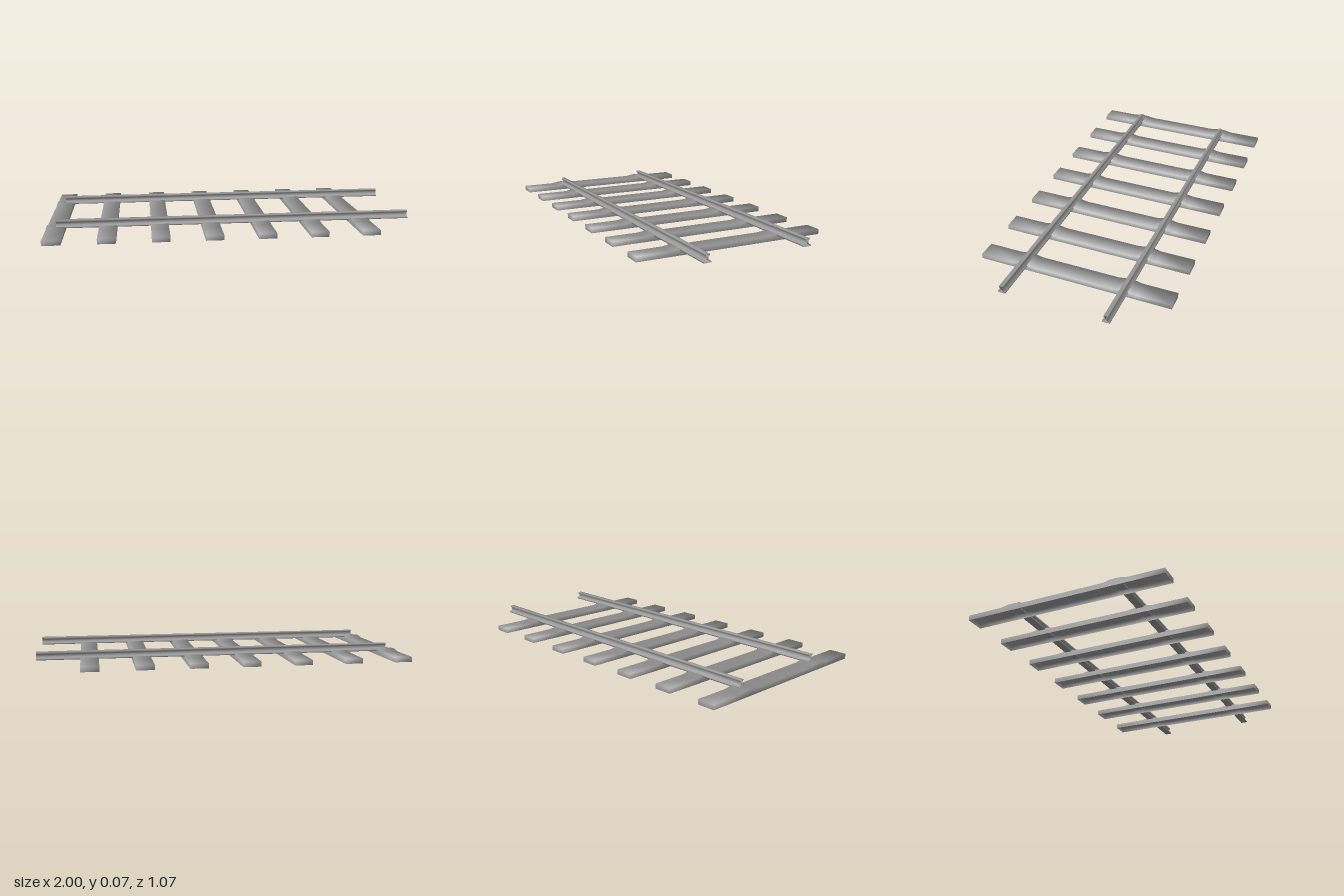
import * as THREE from 'three';
import { mergeVertices } from 'three/addons/utils/BufferGeometryUtils.js';

const material = new THREE.MeshStandardMaterial({ color: 0x999999, side: THREE.DoubleSide });

// Leaves out the faces of one geometry group, so the shell stays open there
function withoutGroup(geometry, dropped) {
  const index = [];
  geometry.groups.forEach((g, n) => {
    if (n === dropped) return;
    for (let i = g.start; i < g.start + g.count; i++) {
      index.push(geometry.index ? geometry.index.getX(i) : i);
    }
  });
  geometry.setIndex(index);
  geometry.clearGroups();
  return geometry;
}

// Half of the sleeper's top line: distance from the middle, height, slope
const topLine = [
  [0.215, 0.027, -0.06], [0.235, 0.03, -0.18], [0.255, 0.0345, -0.12], [0.282, 0.036, 0],
  [0.309, 0.0345, 0.12], [0.329, 0.03, 0.18], [0.349, 0.027, 0.06], [0.534, 0.027, 0],
];
const stations = [
  ...topLine.map(([z, y, s]) => [-z, y, -s]).reverse(),
  ...topLine,
];

// Hollow sleeper: open below, a raised seat under each rail, shaded softly round its edges
function sleeperGeometry() {
  const last = stations.length - 1;
  const geometry = new THREE.BoxGeometry(0.096, 1, 1, 1, 1, last);
  const p = geometry.attributes.position;
  const normal = new THREE.Vector3();
  for (let i = 0; i < p.count; i++) {
    const k = Math.round((p.getZ(i) + 0.5) * last);
    const [z, y, slope] = stations[k];
    const top = p.getY(i) > 0;
    const end = k === 0 || k === last ? Math.sign(z) : 0;
    p.setXYZ(i, p.getX(i), top ? y : 0, z);
    normal.set(Math.sign(p.getX(i)), top ? 1 : 0, end + (top ? slope : 0)).normalize();
    geometry.attributes.normal.setXYZ(i, normal.x, normal.y, normal.z);
  }
  return withoutGroup(geometry, 3);
}

// Rail: foot, web and head, swept along x with open ends and soft edges
function railGeometry() {
  const half = [[0.02, 0.027], [0.02, 0.034], [0.004, 0.042], [0.004, 0.056], [0.01, 0.06], [0.01, 0.07]];
  const mirrored = half.map(([x, y]) => [-x, y]).reverse();
  const shape = new THREE.Shape([...half, ...mirrored].map(([x, y]) => new THREE.Vector2(x, y)));
  const swept = withoutGroup(new THREE.ExtrudeGeometry(shape, { depth: 1.95, bevelEnabled: false }), 0);
  swept.deleteAttribute('normal');
  swept.deleteAttribute('uv');
  const geometry = mergeVertices(swept);
  geometry.computeVertexNormals();
  return geometry.rotateY(Math.PI / 2);
}

export function createModel() {
  const model = new THREE.Group();
  model.name = 'railwayTrack';

  // Seven evenly spaced sleepers
  const sleeper = sleeperGeometry();
  for (let i = 0; i < 7; i++) {
    const mesh = new THREE.Mesh(sleeper, material);
    mesh.name = `sleeper${i + 1}`;
    mesh.position.x = -0.952 + i * 0.279;
    model.add(mesh);
  }

  // Two rails, overhanging the last sleeper
  const rail = railGeometry();
  for (const side of [1, -1]) {
    const mesh = new THREE.Mesh(rail, material);
    mesh.name = side > 0 ? 'frontRail' : 'backRail';
    mesh.position.set(-0.95, 0, side * 0.282);
    model.add(mesh);
  }
  return model;
}
